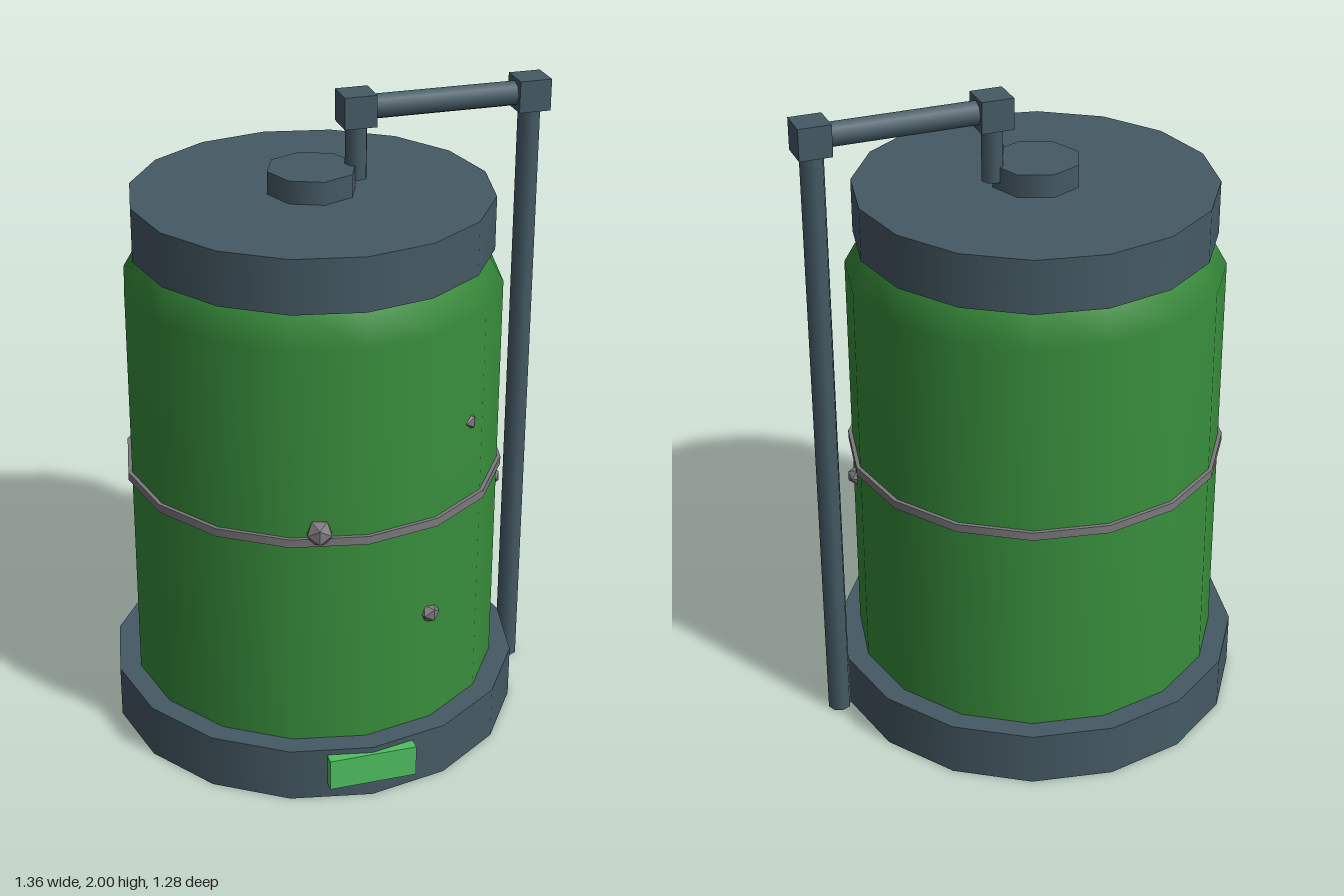
import * as THREE from 'three';

const CX = -0.045, CZ = -0.004; // tank axis
const PX = 0.628;               // upright pipe position
const AX = 0.09;                // valve pipe position

function material(name, color) {
  const m = new THREE.MeshStandardMaterial({ color });
  m.name = name;
  return m;
}

export function createModel() {
  const slate = material('slate metal', 0x455a64);
  const green = material('tank green', 0x388e3c);
  const bright = material('label green', 0x50c060);
  const grey = material('weld grey', 0x7c787c);
  const group = new THREE.Group();
  group.name = 'storageTank';

  const add = (name, geometry, mat, x, y, z) => {
    const mesh = new THREE.Mesh(geometry, mat);
    mesh.name = name;
    mesh.position.set(x, y, z);
    group.add(mesh);
    return mesh;
  };
  // Upright drum between two heights
  const drum = (name, r, y0, y1, sides, mat, x = CX) =>
    add(name, new THREE.CylinderGeometry(r, r, y1 - y0, sides), mat, x, (y0 + y1) / 2, CZ);

  // Tank: base, shell with tapered shoulder, band, lid and cap
  drum('base', 0.637, 0, 0.17, 16, slate);
  const profile = [[0.57, 0.1], [0.57, 1.45], [0.508, 1.56]].map(([r, y]) => new THREE.Vector2(r, y));
  add('shell', new THREE.LatheGeometry(profile, 16), green, CX, 0, CZ);
  drum('band', 0.582, 0.84, 0.866, 16, grey);
  drum('lid', 0.542, 1.55, 1.715, 16, slate);
  drum('cap', 0.135, 1.715, 1.785, 8, slate);

  // Pipework with cube elbows
  drum('uprightPipe', 0.036, 0, 1.95, 8, slate, PX);
  drum('valvePipe', 0.034, 1.74, 1.95, 8, slate, AX);
  add('crossPipe', new THREE.CylinderGeometry(0.038, 0.038, PX - AX, 8), slate, (PX + AX) / 2, 1.952, CZ)
    .rotation.z = Math.PI / 2;
  for (const x of [AX, PX]) {
    add('elbow', new THREE.BoxGeometry(0.098, 0.096, 0.098), slate, x, 1.952, CZ);
  }

  // Plate on the front of the base
  add('label', new THREE.BoxGeometry(0.27, 0.1, 0.034), bright, CX, 0.102, 0.626);

  // Small faceted lumps set into the shell
  const lumps = [
    [-0.183, 0.88, 0.54, 0.042],
    [0.163, 0.54, 0.514, 0.034],
    [0.304, 1.112, 0.415, 0.031],
    [0.497, 0.752, 0.132, 0.03],
  ];
  for (const [x, y, z, r] of lumps) {
    const lump = add('lump', new THREE.IcosahedronGeometry(r, 0), grey, x, y, z);
    lump.rotation.y = Math.atan2(x - CX, z - CZ);
  }
  return group;
}
